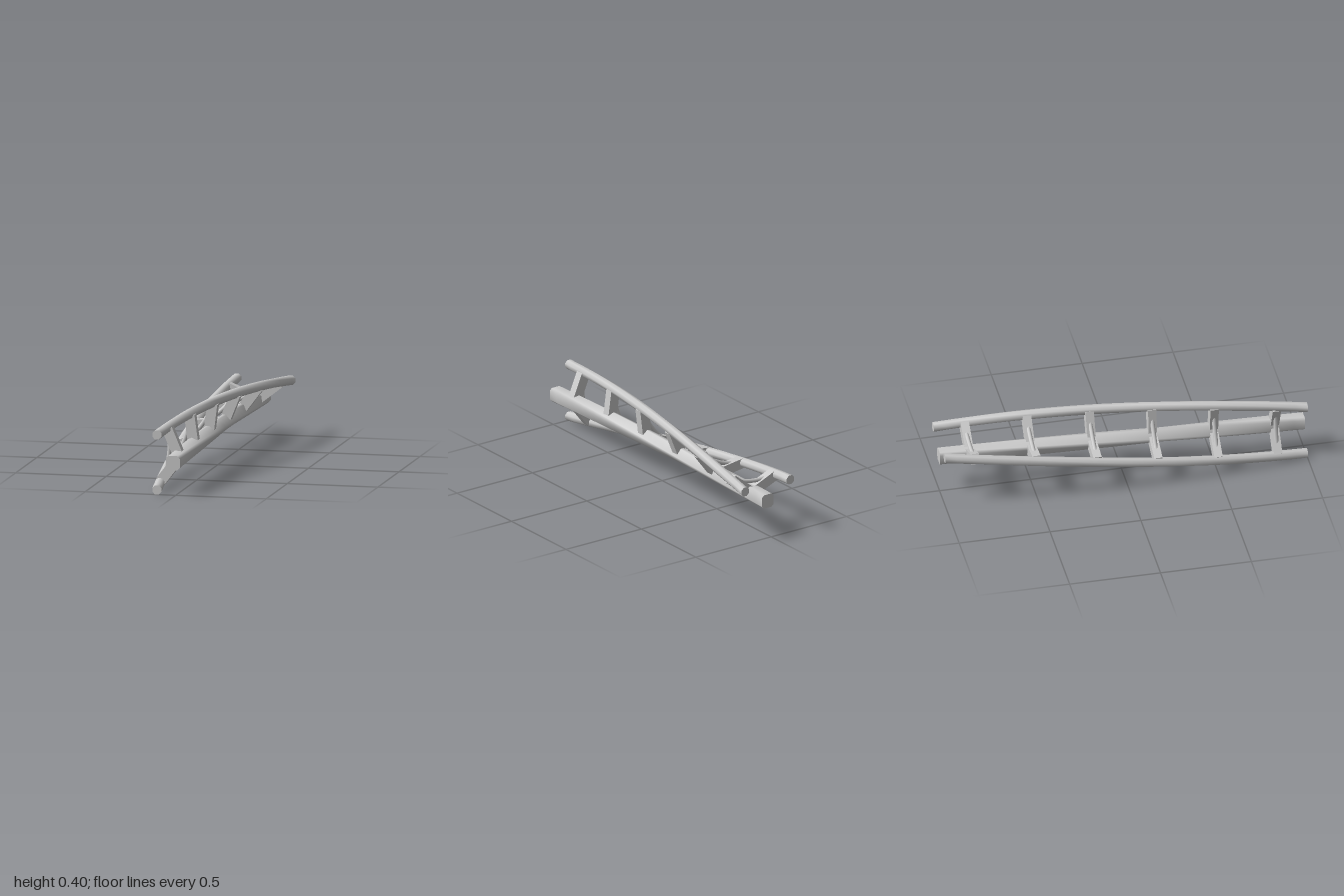
import * as THREE from 'three';

const AXIS = { x: 0.022, y: 0.175 };           // line the whole track rolls around
const RAIL = { x: 0.15, y: 0.126 };            // rail position in the rolled frame
const SPINE_Y = 0.038;
const material = new THREE.MeshStandardMaterial({ color: 0xcccccc, side: THREE.DoubleSide });

// Quarter turn from the back (level) to the front (on its side)
const rollAt = (z) => (z + 1) * Math.PI / 4;

// Sweep a counter-clockwise profile along z, rolling it about the axis
function sweep(profile, steps = 32) {
  const n = profile.length, pos = [], index = [];
  const ring = (z) => {
    const c = Math.cos(rollAt(z)), s = Math.sin(rollAt(z));
    for (const [x, y] of profile) pos.push(AXIS.x + c * x - s * y, AXIS.y + s * x + c * y, z);
  };
  for (let i = 0; i <= steps; i++) ring(1 - 2 * i / steps);
  for (let i = 0; i < steps; i++) {
    for (let j = 0; j < n; j++) {
      const a = i * n + j, b = i * n + (j + 1) % n;
      index.push(a, a + n, b, b, a + n, b + n);
    }
  }
  // flat end caps with their own vertices
  for (const z of [1, -1]) {
    const o = pos.length / 3;
    ring(z);
    for (let j = 1; j < n - 1; j++) {
      if (z > 0) index.push(o, o + j, o + j + 1);
      else index.push(o, o + j + 1, o + j);
    }
  }
  const geo = new THREE.BufferGeometry();
  geo.setAttribute('position', new THREE.Float32BufferAttribute(pos, 3));
  geo.setIndex(index);
  geo.computeVertexNormals();
  return geo;
}

// Eight-sided outline: a square of half size h with corners cut by c
function octagon(cx, cy, h, c) {
  const k = h - c;
  return [[h, -k], [h, k], [k, h], [-k, h], [-h, k], [-h, -k], [-k, -h], [k, -h]]
    .map(([x, y]) => [cx + x, cy + y]);
}

export function createModel() {
  const track = new THREE.Group();
  track.name = 'twistedTrack';
  const add = (parent, name, geo) => {
    const mesh = new THREE.Mesh(geo, material);
    mesh.name = name;
    parent.add(mesh);
    return mesh;
  };

  // Long members
  add(track, 'spine', sweep(octagon(0, SPINE_Y, 0.0385, 0.0135)));
  add(track, 'rightRail', sweep(octagon(-RAIL.x, RAIL.y, 0.025, 0.0146)));
  add(track, 'leftRail', sweep(octagon(RAIL.x, RAIL.y, 0.025, 0.0146)));

  // Arms from spine to rails, and the sagging cross tube between them
  const armLength = 0.167;
  const armAngle = Math.atan2(RAIL.y - SPINE_Y, RAIL.x);
  const armGeo = new THREE.BoxGeometry(armLength, 0.057, 0.046).translate(armLength / 2, 0, 0);
  const sag = new THREE.QuadraticBezierCurve3(
    new THREE.Vector3(-0.125, 0.117, 0),
    new THREE.Vector3(0, 0.08, 0),
    new THREE.Vector3(0.125, 0.117, 0));
  const tubeGeo = new THREE.TubeGeometry(sag, 12, 0.012, 8);

  for (let i = 0; i < 6; i++) {
    const z = (2 * i - 5) / 6;
    const tie = new THREE.Group();
    tie.name = `crossTie${i + 1}`;
    tie.position.set(AXIS.x, AXIS.y, z);
    tie.rotation.z = rollAt(z);
    for (const side of [1, -1]) {
      const arm = add(tie, side > 0 ? 'leftArm' : 'rightArm', armGeo);
      arm.position.y = SPINE_Y;
      arm.rotation.z = side > 0 ? armAngle : Math.PI - armAngle;
    }
    add(tie, 'crossTube', tubeGeo);
    track.add(tie);
  }
  return track;
}
